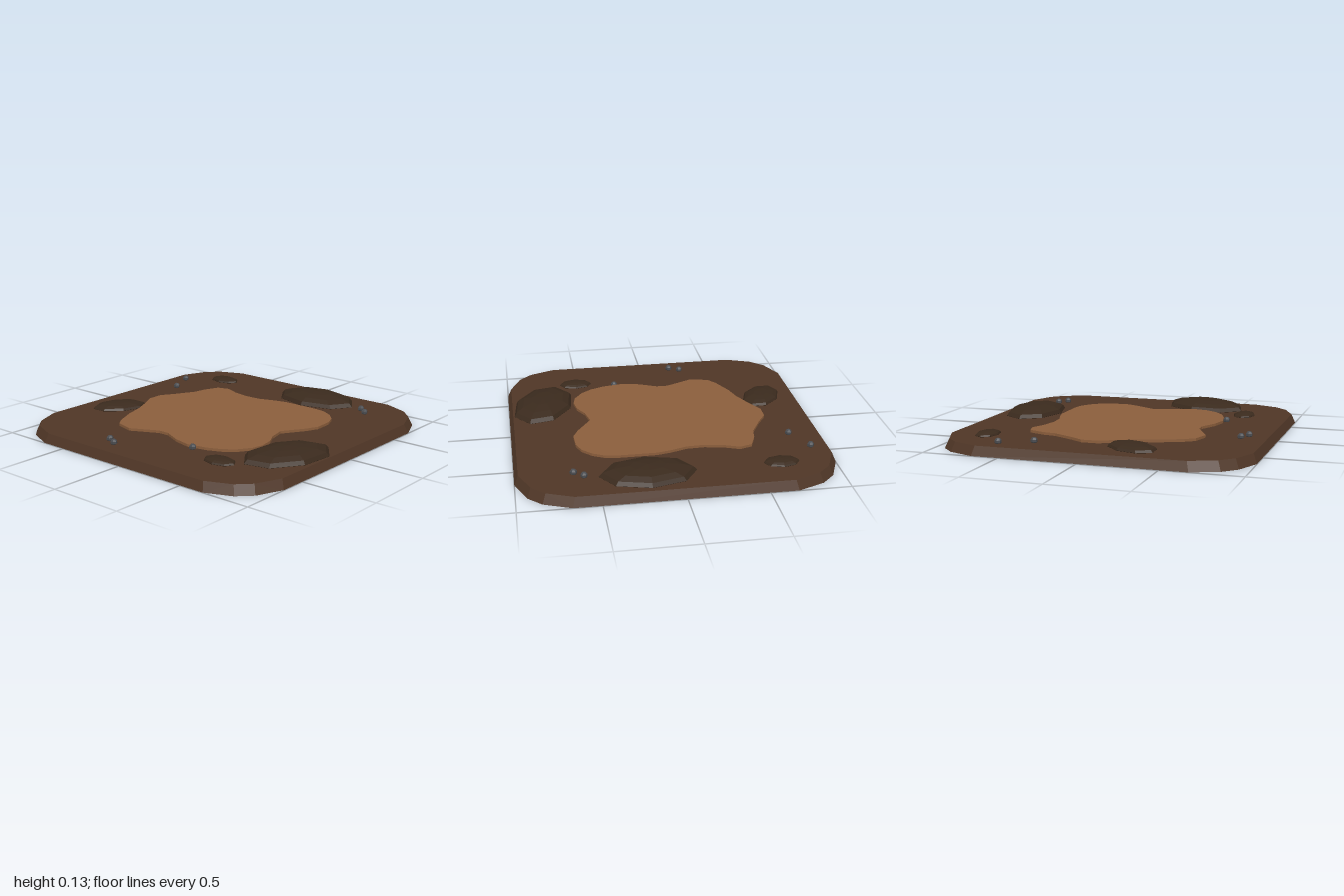
import * as THREE from 'three';
import { ConvexGeometry } from 'three/addons/geometries/ConvexGeometry.js';

const material = (color) => new THREE.MeshStandardMaterial({ color, flatShading: true });

const soil = material(0x4f3626);
const mud = material(0x8b5e3c);
const clod = material(0x3a2a1d);
const stone = material(0x4a4c50);

export function createModel() {
  const model = new THREE.Group();
  const add = (name, geometry, mat, x = 0, y = 0, z = 0) => {
    const mesh = new THREE.Mesh(geometry, mat);
    mesh.name = name;
    mesh.position.set(x, y, z);
    model.add(mesh);
    return mesh;
  };

  // Ground slab: square with cut corners, slightly narrower at the top
  const corner = [[0.675, 1], [0.845, 0.93], [0.93, 0.845], [1, 0.675]];
  const slab = [];
  for (const [y, s] of [[0, 1], [0.06, 0.976]])
    for (const sx of [-1, 1])
      for (const sz of [-1, 1])
        for (const [x, z] of corner) slab.push(new THREE.Vector3(x * s * sx, y, z * s * sz));
  add('groundSlab', new ConvexGeometry(slab), soil);

  // Thin mud patch with a wavy outline, given as x, z
  const outline = [
    [-0.5, -0.5], [-0.42, -0.525], [-0.32, -0.485], [-0.2, -0.463], [-0.09, -0.468], [0.02, -0.505],
    [0.11, -0.525], [0.35, -0.525], [0.43, -0.515], [0.51, -0.473], [0.57, -0.41], [0.6, -0.335],
    [0.605, -0.21], [0.57, -0.13], [0.475, 0.02], [0.5, 0.135], [0.545, 0.22], [0.56, 0.31],
    [0.545, 0.39], [0.49, 0.475], [0.42, 0.53], [0.325, 0.57], [0.19, 0.595], [0.075, 0.57],
    [-0.05, 0.512], [-0.125, 0.512], [-0.31, 0.602], [-0.43, 0.57], [-0.475, 0.51], [-0.54, 0.365],
    [-0.57, 0.255], [-0.625, 0.135], [-0.685, 0.02], [-0.685, -0.085], [-0.63, -0.17], [-0.555, -0.31],
    [-0.54, -0.4],
  ];
  const shape = new THREE.Shape(outline.map(([x, z]) => new THREE.Vector2(x, -z)));
  const patch = new THREE.ExtrudeGeometry(shape, { depth: 0.027, bevelEnabled: false });
  patch.rotateX(-Math.PI / 2);
  add('mudPatch', patch, mud, 0, 0.05, 0);

  // Flattened earth mounds: x, z, half length, half height, half width, turn
  const dome = new THREE.SphereGeometry(1, 8, 8);
  const mounds = [
    [0.2, -0.757, 0.3, 0.063, 0.187, 0],
    [0.765, 0.335, 0.302, 0.063, 0.193, 1.22],
    [-0.745, 0.26, 0.185, 0.036, 0.12, 1.015],
    [-0.632, -0.735, 0.113, 0.025, 0.073, 0],
    [0.518, 0.67, 0.113, 0.025, 0.073, 0],
  ];
  mounds.forEach(([x, z, rx, ry, rz, turn], i) => {
    const mound = add(`mound${i + 1}`, dome, clod, x, 0.062, z);
    mound.scale.set(rx, ry, rz);
    mound.rotation.y = turn;
  });

  // Small scattered pebbles
  const pebble = new THREE.SphereGeometry(0.023, 6, 5);
  const spots = [
    [0.585, -0.742], [0.645, -0.692], [-0.868, -0.555], [-0.777, -0.357],
    [0.247, 0.607], [-0.262, 0.815], [-0.19, 0.852],
  ];
  spots.forEach(([x, z], i) => add(`pebble${i + 1}`, pebble, stone, x, 0.072, z));

  return model;
}
